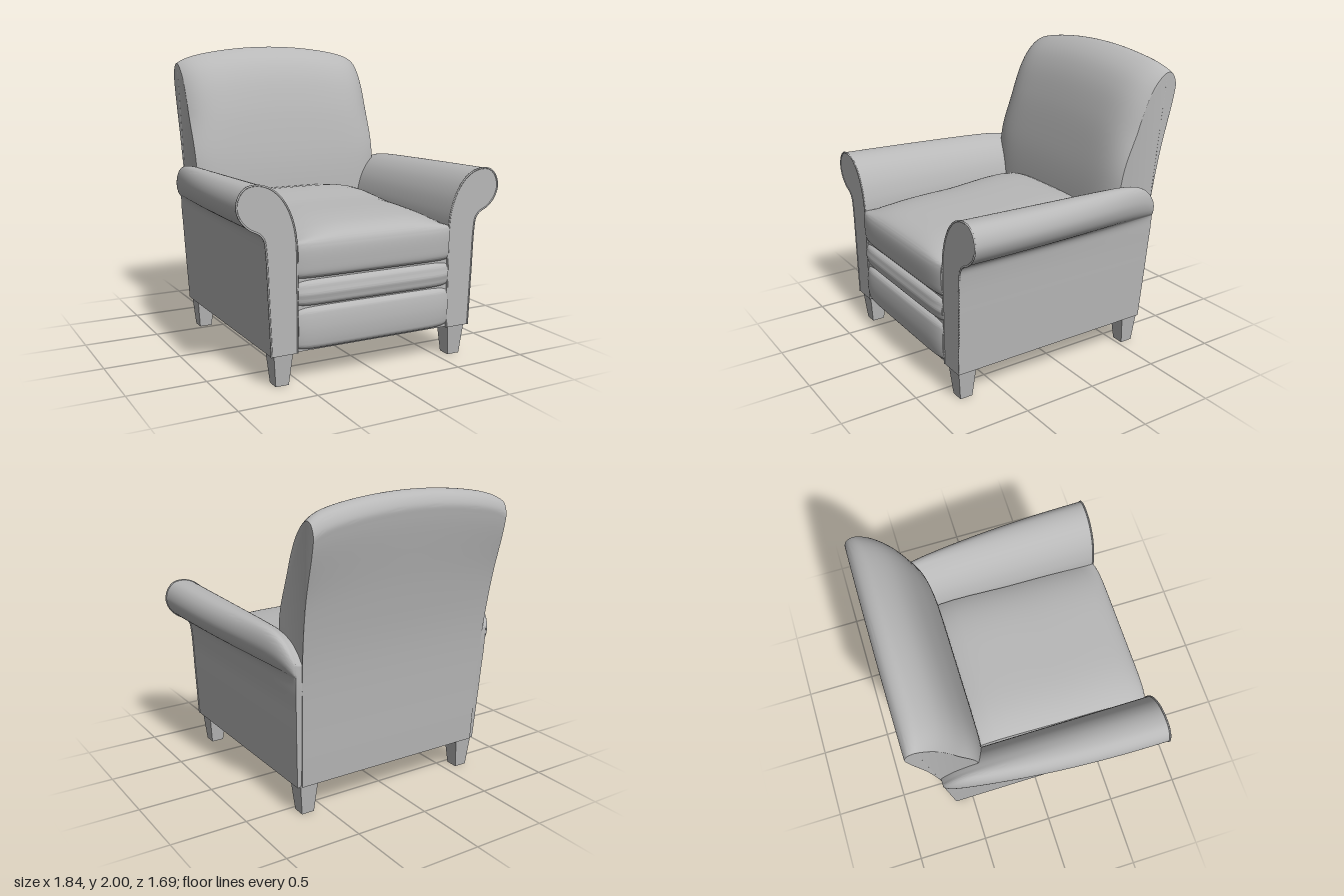
import * as THREE from 'three';
import { toCreasedNormals } from 'three/addons/utils/BufferGeometryUtils.js';

const { clamp, smoothstep } = THREE.MathUtils;

// Smooth outline through a few points, closed by a straight line
function outline(points, samples) {
  const curve = new THREE.CatmullRomCurve3(points.map(([x, y]) => new THREE.Vector3(x, y, 0)));
  return curve.getPoints(samples);
}

// Move every vertex by a rule, then shade smoothly with sharp creases
function reshape(geometry, rule) {
  const pos = geometry.attributes.position;
  const v = new THREE.Vector3();
  for (let i = 0; i < pos.count; i++) {
    rule(v.fromBufferAttribute(pos, i));
    pos.setXYZ(i, v.x, v.y, v.z);
  }
  return toCreasedNormals(geometry, 0.75);
}

function extrude(points, depth, steps) {
  const shape = new THREE.Shape(points.map((p) => new THREE.Vector2(p.x, p.y)));
  return new THREE.ExtrudeGeometry(shape, { depth, steps, bevelEnabled: false });
}

// Upholstered part: a [z, y] side profile swept across the width.
// The rule gets the vertex and u, the distance from the centre line (0 to 1).
function upholstery(profile, halfWidth, rule, samples = 60) {
  const geometry = extrude(outline(profile.map(([z, y]) => [-z, y]), samples), 2, 32);
  geometry.translate(0, 0, -1);
  geometry.rotateY(Math.PI / 2);
  return reshape(geometry, (v) => {
    const across = Math.sin(v.x * Math.PI / 2);
    v.x = across * halfWidth;
    rule(v, Math.abs(across));
  });
}

const ARM_PROFILE = [
  [0.537, 0.2], [0.537, 0.6], [0.542, 0.88], [0.556, 0.97], [0.59, 1.07], [0.645, 1.155],
  [0.715, 1.21], [0.79, 1.23], [0.855, 1.22], [0.9, 1.175], [0.917, 1.105], [0.893, 1.035],
  [0.84, 0.98], [0.775, 0.945], [0.748, 0.91], [0.736, 0.84], [0.722, 0.55], [0.706, 0.2],
];

// Rolled arm whose scroll narrows and drops towards the back
function armGeometry(points) {
  return reshape(extrude(points, 1, 40), (v) => {
    const d = Math.sin((1 - v.z) * Math.PI / 2);
    const backZ = -0.63 - 0.055 * clamp((v.y - 0.2) / 0.8, 0, 1);
    v.z = 0.81 + (backZ - 0.81) * d;
    const side = Math.sign(v.x), x = Math.abs(v.x);
    const reach = (1 - 0.72 * Math.pow(d, 2.2)) * Math.sqrt(Math.max(0, 1 - Math.pow(d, 24)));
    if (x > 0.735) v.x = side * (0.735 + (x - 0.735) * reach);
    if (v.y > 0.94) v.y = 0.94 + (v.y - 0.94) * (1 - 0.12 * d - 0.6 * Math.pow(d, 16));
  });
}

export function createModel() {
  const model = new THREE.Group();
  const fabric = new THREE.MeshStandardMaterial({ color: 0xb8b8b8 });
  fabric.name = 'greyUpholstery';

  const add = (name, geometry) => {
    const mesh = new THREE.Mesh(geometry, fabric);
    mesh.name = name;
    model.add(mesh);
    return mesh;
  };

  // Arms with a thin welt around the front edge
  for (const [side, label] of [[1, 'left'], [-1, 'right']]) {
    const points = outline(ARM_PROFILE.map(([x, y]) => [x * side, y]), 80);
    add(label + 'Arm', armGeometry(points));
    const welt = new THREE.CatmullRomCurve3(points.map((p) => new THREE.Vector3(p.x, p.y, 0.809)));
    add(label + 'ArmWelt', new THREE.TubeGeometry(welt, 120, 0.006, 6));
  }

  // Backrest: crowned top, padded front that falls away at the sides
  add('backrest', upholstery([
    [-0.36, 0.2], [-0.36, 0.9], [-0.375, 1.15], [-0.405, 1.35], [-0.46, 1.6], [-0.53, 1.8],
    [-0.6, 1.91], [-0.68, 1.975], [-0.75, 2.0], [-0.81, 1.98], [-0.845, 1.92], [-0.84, 1.85],
    [-0.75, 1.4], [-0.69, 1.0], [-0.64, 0.2],
  ], 0.71, (v, u) => {
    const rear = -0.84 + (1.85 - v.y) * 0.17;
    const pull = 0.14 + 0.13 * smoothstep(v.y, 1.2, 1.6);
    v.z -= pull * Math.max(0, v.z - rear) * Math.pow(u, 8);
    v.x *= 0.955 + 0.045 * smoothstep(v.y, 0.2, 1.6);
    v.y -= (0.085 * u * u + 0.03 * Math.pow(u, 12)) * smoothstep(v.y, 1.3, 1.95);
  }, 90));

  // Seat cushion with a domed top
  add('seatCushion', upholstery([
    [-0.42, 0.652], [-0.42, 0.975], [0.2, 0.985], [0.6, 0.965], [0.75, 0.935], [0.815, 0.897],
    [0.838, 0.85], [0.84, 0.74], [0.83, 0.675], [0.81, 0.652],
  ], 0.537, (v, u) => {
    v.y -= 0.075 * Math.pow(u, 4) * smoothstep(v.y, 0.86, 0.97);
    if (v.z > 0.7) v.z -= 0.02 * Math.pow(u, 8);
  }));

  // Padded front band and footrest
  for (const [name, low, high] of [['frontBand', 0.482, 0.638], ['footrest', 0.212, 0.472]]) {
    const mid = (low + high) / 2;
    add(name, upholstery([
      [0.7, low], [0.805, low], [0.828, low + 0.02], [0.836, low + 0.05], [0.842, mid],
      [0.836, high - 0.05], [0.828, high - 0.02], [0.805, high], [0.7, high],
    ], 0.535, (v, u) => {
      if (v.z > 0.75) v.z -= 0.02 * Math.pow(u, 10);
      v.y += (mid - v.y) * 0.06 * Math.pow(u, 12);
    }));
  }

  // Frame filling the space under the seat
  const frame = add('baseFrame', new THREE.BoxGeometry(1.3, 0.45, 1.4));
  frame.position.set(0, 0.43, 0.1);

  // Square tapered legs
  const legGeometry = toCreasedNormals(
    new THREE.CylinderGeometry(0.127 / Math.SQRT2, 0.086 / Math.SQRT2, 0.21, 4).rotateY(Math.PI / 4), 0.3);
  for (const [z, end] of [[0.733, 'front'], [-0.57, 'rear']]) {
    for (const [side, label] of [[1, 'Left'], [-1, 'Right']]) {
      const leg = add(end + label + 'Leg', legGeometry);
      leg.position.set(side * 0.623, 0.105, z);
    }
  }

  return model;
}
